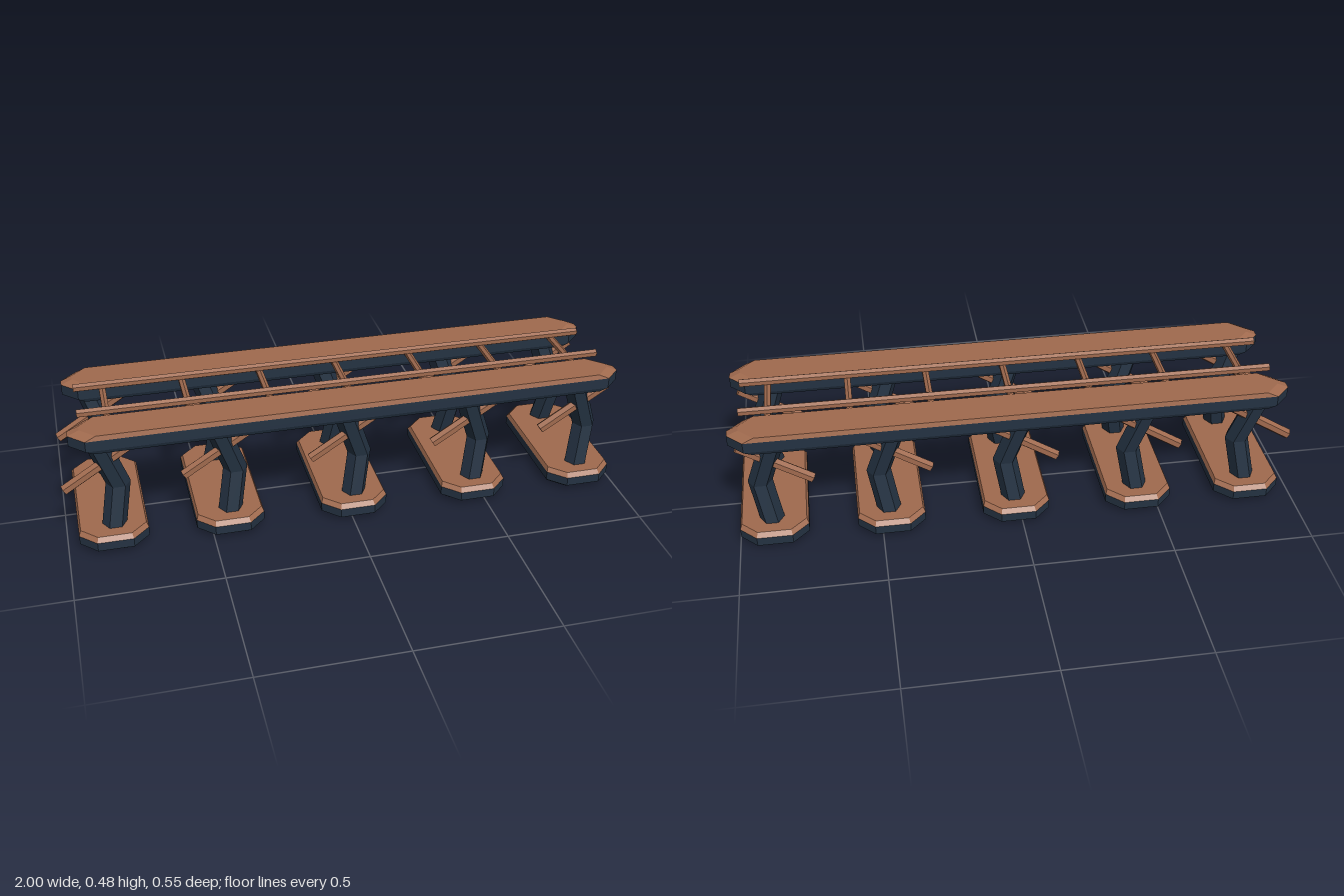
import * as THREE from 'three';

const copper = new THREE.MeshStandardMaterial({ color: 0xa06a4e });
copper.name = 'copper';
const navy = new THREE.MeshStandardMaterial({ color: 0x243242 });
navy.name = 'navy';

// Joins horizontal rings of [x, y, z] points (counter-clockwise from above), faceted
function loft(rings, capBottom = true, capTop = true) {
  const n = rings[0].length, index = [];
  for (let r = 0; r < rings.length - 1; r++) {
    for (let i = 0; i < n; i++) {
      const a = r * n + i, b = r * n + (i + 1) % n;
      index.push(a, b, b + n, a, b + n, a + n);
    }
  }
  const t = (rings.length - 1) * n;
  for (let i = 1; i < n - 1; i++) {
    if (capBottom) index.push(0, i + 1, i);
    if (capTop) index.push(t, t + i, t + i + 1);
  }
  const g = new THREE.BufferGeometry();
  g.setAttribute('position', new THREE.Float32BufferAttribute(rings.flat(2), 3));
  g.setIndex(index);
  const flat = g.toNonIndexed();
  flat.computeVertexNormals();
  return flat;
}

// Rectangle with cut corners at height y
function cutRect(y, hx, hz, c) {
  return [[hx, -hz + c], [hx - c, -hz], [-hx + c, -hz], [-hx, -hz + c],
    [-hx, hz - c], [-hx + c, hz], [hx - c, hz], [hx, hz - c]].map(([x, z]) => [x, y, z]);
}

function mesh(name, geometry, material) {
  const m = new THREE.Mesh(geometry, material);
  m.name = name;
  return m;
}

// Bevelled slab: dark body with a copper top; y holds bottom, lower edge, upper edge, top
function slab(name, y, hx, hz, cut, low, high) {
  const g = new THREE.Group();
  g.name = name;
  const edge = cutRect(y[2], hx, hz, cut);
  g.add(mesh(name + 'Body', loft([cutRect(y[0], hx - low[0], hz - low[1], cut * 0.95),
    cutRect(y[1], hx, hz, cut), edge], true, false), navy));
  g.add(mesh(name + 'Top', loft([edge,
    cutRect(y[3], hx - high[0], hz - high[1], cut * 0.95)], false, true), copper));
  return g;
}

// Hexagonal rod between two points with one ridge facing up
function rod(name, from, to, radius) {
  const a = new THREE.Vector3(...from), b = new THREE.Vector3(...to);
  const dir = b.clone().sub(a), len = dir.length();
  dir.normalize();
  const side = dir.clone().cross(new THREE.Vector3(0, 1, 0)).normalize();
  const up = side.clone().cross(dir);
  const g = new THREE.CylinderGeometry(radius, radius, len, 6).toNonIndexed();
  g.applyMatrix4(new THREE.Matrix4().makeBasis(side, dir, up));
  g.translate(...a.add(b).multiplyScalar(0.5).toArray());
  g.computeVertexNormals();
  return mesh(name, g, copper);
}

// Bent hexagonal leg, its ridges facing +x and -x
function leg(s) {
  const path = [[0.005, 0.055, 0.178], [0.033, 0.212, 0.151], [-0.032, 0.405, 0.175]];
  const rings = path.map(([x, y, z]) => Array.from({ length: 6 }, (_, i) => {
    const a = i * Math.PI / 3;
    return [x + 0.043 * Math.cos(a), y, s * z - 0.044 * Math.sin(a)];
  }));
  return mesh('leg', loft(rings), navy);
}

export function createModel() {
  const model = new THREE.Group();
  model.name = 'elevatedTrack';

  // Five trestles: foot slab, two bent legs, two slanted braces
  for (const x of [-0.84, -0.433, 0.016, 0.465, 0.877]) {
    const trestle = new THREE.Group();
    trestle.name = 'trestle';
    trestle.position.x = x;
    trestle.add(slab('foot', [0, 0.018, 0.05, 0.065], 0.12, 0.273, 0.058,
      [0.012, 0.025], [0.007, 0.015]));
    for (const s of [1, -1]) {
      trestle.add(leg(s));
      trestle.add(rod('brace', [-0.15, 0.222, s * 0.178], [0.095, 0.377, s * 0.178], 0.019));
    }
    model.add(trestle);
  }

  // Two long beams with a rail inside each
  for (const s of [1, -1]) {
    const beam = slab('beam', [0.388, 0.402, 0.44, 0.457], 0.978, 0.069, 0.054,
      [0.03, 0.006], [0.04, 0.004]);
    beam.position.set(0.019, 0, s * 0.181);
    model.add(beam);
    model.add(rod('rail', [-0.92, 0.462, s * 0.091], [0.958, 0.462, s * 0.091], 0.015));
  }

  // Rungs between the beams
  for (let i = -3; i <= 3; i++) {
    const x = 0.02 + i * 0.28;
    model.add(rod('rung', [x, 0.443, -0.12], [x, 0.443, 0.12], 0.013));
  }
  return model;
}
